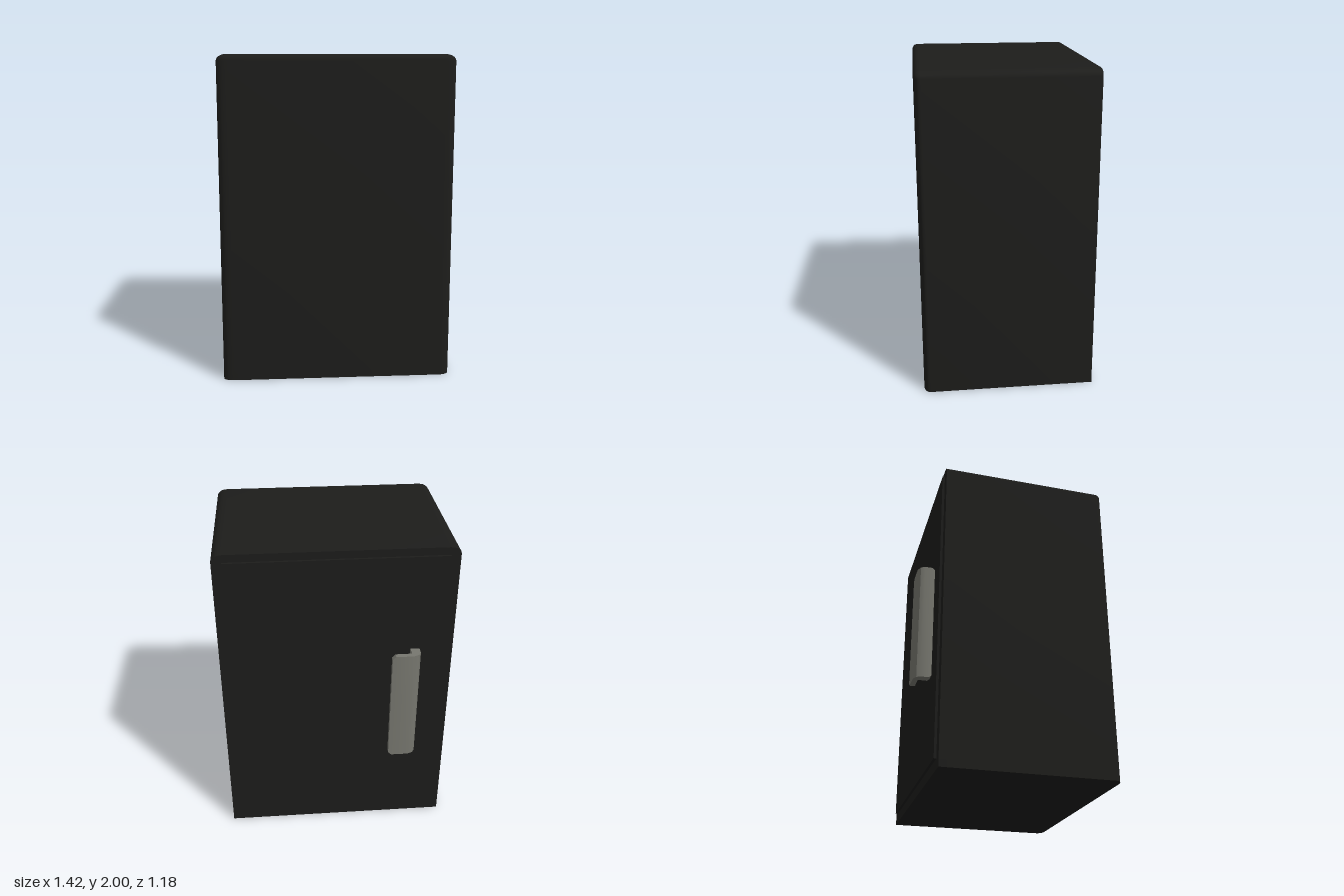
import * as THREE from 'three';
import { toCreasedNormals } from 'three/addons/utils/BufferGeometryUtils.js';

const dark = new THREE.MeshStandardMaterial({ color: 0x1d1d1b });
const steel = new THREE.MeshStandardMaterial({ color: 0x77776f });

function addMesh(group, name, geometry, material) {
  const mesh = new THREE.Mesh(geometry, material);
  mesh.name = name;
  group.add(mesh);
  return mesh;
}

// Box rounded at its front, top and upright front edges; bottom and back edges stay sharp
function cabinetGeometry(hx, top, back, front, rx, ry, rz) {
  const n = 3, s = 2 * n + 1;
  const geo = new THREE.BoxGeometry(1, 1, 1, s, s, s);
  const pos = geo.attributes.position;
  const place = (u, min, max, r) => {
    const k = Math.round((u + 0.5) * s);
    return k <= n ? min + (r * k) / n : max - (r * (s - k)) / n;
  };
  const d = new THREE.Vector3();
  for (let i = 0; i < pos.count; i++) {
    const x = place(pos.getX(i), -hx, hx, rx);
    const y = place(pos.getY(i), 0, top, ry);
    const z = place(pos.getZ(i), back, front, rz);
    d.set(
      Math.max(0, (Math.abs(x) - hx + rx) / rx),
      Math.max(0, (y - top + ry) / ry),
      Math.max(0, (z - front + rz) / rz)
    );
    const len = d.length();
    if (len > 0) d.multiplyScalar(Math.max(d.x, d.y, d.z) / len);
    pos.setXYZ(
      i,
      Math.sign(x) * (Math.min(Math.abs(x), hx - rx) + rx * d.x),
      Math.min(y, top - ry) + ry * d.y,
      Math.min(z, front - rz) + rz * d.z
    );
  }
  return toCreasedNormals(geo, 0.9);
}

// Bent plate: each station is [outer x, outer z, inner x, inner z, half height]
function handleGeometry(stations, midY) {
  const points = [], index = [];
  for (const [ox, oz, ix, iz, h] of stations) {
    points.push(ox, midY + h, oz, ix, midY + h, iz, ix, midY - h, iz, ox, midY - h, oz);
  }
  for (let i = 0; i < stations.length - 1; i++) {
    for (let k = 0; k < 4; k++) {
      const a = i * 4 + k, b = i * 4 + ((k + 1) % 4);
      index.push(a, b, b + 4, a, b + 4, a + 4);
    }
  }
  const e = (stations.length - 1) * 4;
  index.push(0, 2, 1, 0, 3, 2, e, e + 1, e + 2, e, e + 2, e + 3);
  const geo = new THREE.BufferGeometry();
  geo.setAttribute('position', new THREE.Float32BufferAttribute(points, 3));
  geo.setIndex(index);
  return toCreasedNormals(geo, 0.6);
}

export function createModel() {
  const model = new THREE.Group();
  model.name = 'cabinet';

  // Main case
  addMesh(model, 'cabinetBody', cabinetGeometry(0.71, 2, -0.475, 0.59, 0.065, 0.04, 0.04), dark);

  // Thin door panel standing slightly proud of the back
  const door = addMesh(model, 'doorPanel', new THREE.BoxGeometry(1.3, 1.89, 0.03), dark);
  door.position.set(0, 1.008, -0.475);

  // L-shaped pull with clipped corners at both ends
  addMesh(model, 'doorHandle', handleGeometry([
    [-0.5, -0.488, -0.445, -0.488, 0.36],
    [-0.5, -0.505, -0.445, -0.505, 0.375],
    [-0.5, -0.553, -0.445, -0.555, 0.375],
    [-0.486, -0.577, -0.443, -0.559, 0.375],
    [-0.452, -0.592, -0.435, -0.56, 0.375],
    [-0.345, -0.592, -0.345, -0.56, 0.375],
    [-0.325, -0.592, -0.325, -0.56, 0.355]
  ], 0.977), steel);

  return model;
}
